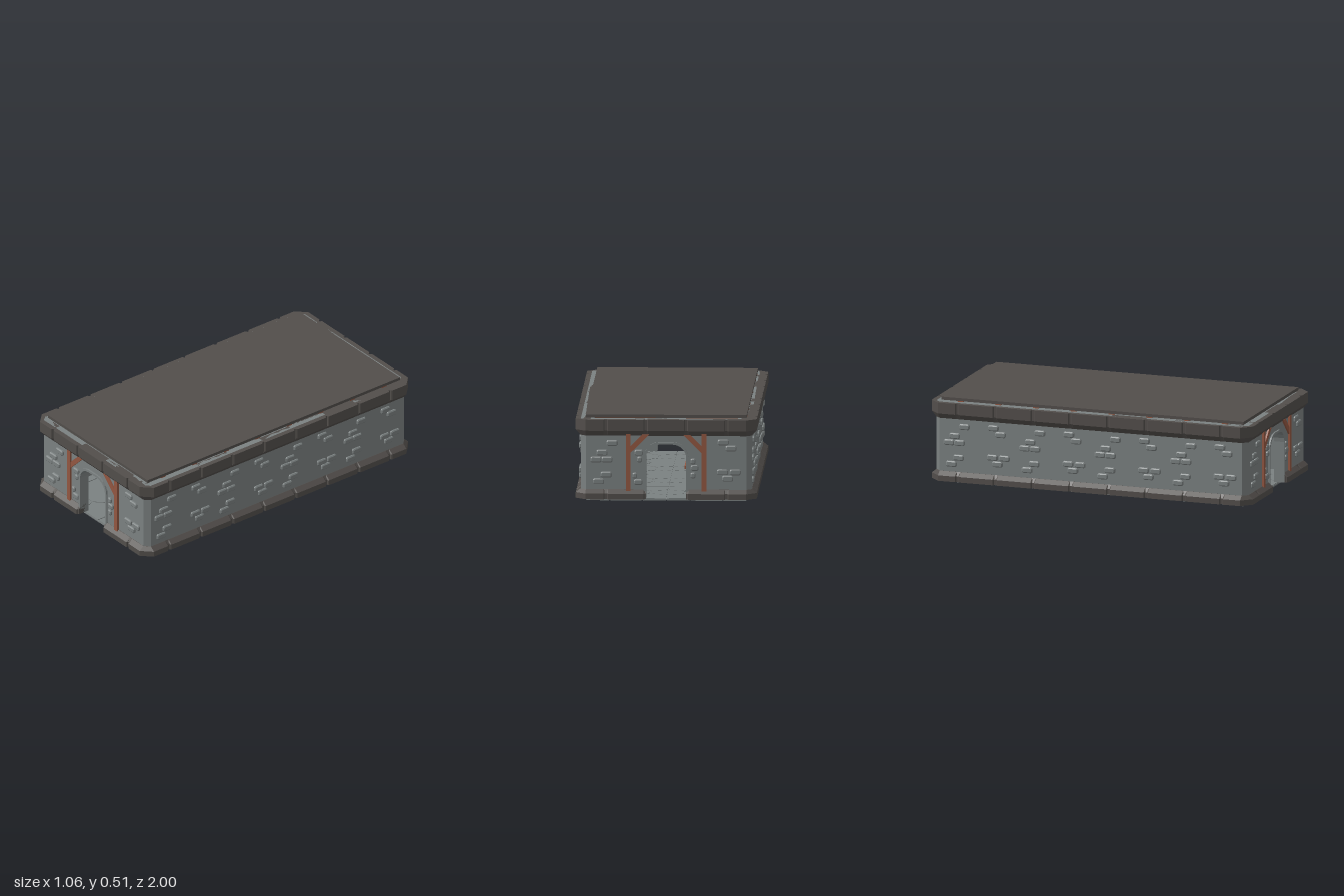
import * as THREE from 'three';

const mat = (name, color) => Object.assign(new THREE.MeshStandardMaterial({ color }), { name });

// Solid through layers [y, [[x, z], ...]] of matching plan polygons, with flat faces.
function loft(layers) {
  const flat = (pts) => pts.map(([x, z]) => new THREE.Vector2(x, -z));
  if (THREE.ShapeUtils.area(flat(layers[0][1])) < 0) {
    layers = layers.map(([y, p]) => [y, [...p].reverse()]);
  }
  const out = [];
  const put = (l, i) => out.push(l[1][i][0], l[0], l[1][i][1]);
  const caps = THREE.ShapeUtils.triangulateShape(flat(layers[0][1]), []);
  const first = layers[0], last = layers[layers.length - 1], n = first[1].length;
  for (const [a, b, c] of caps) {
    put(last, a); put(last, b); put(last, c);
    put(first, a); put(first, c); put(first, b);
  }
  for (let k = 0; k + 1 < layers.length; k++) {
    const lo = layers[k], hi = layers[k + 1];
    for (let i = 0; i < n; i++) {
      const j = (i + 1) % n;
      put(lo, i); put(lo, j); put(hi, j);
      put(lo, i); put(hi, j); put(hi, i);
    }
  }
  const g = new THREE.BufferGeometry();
  g.setAttribute('position', new THREE.Float32BufferAttribute(out, 3));
  g.computeVertexNormals();
  return g;
}

// Rectangle with cut corners
const cutRect = (w, h, c) => [
  [-w + c, -h], [w - c, -h], [w, -h + c], [w, h - c],
  [w - c, h], [-w + c, h], [-w, h - c], [-w, -h + c]];

// Outline of the doorway from left foot to right foot
function archPoints(w, top, r) {
  const pts = [new THREE.Vector2(-w, 0.015)];
  for (let i = 0; i <= 5; i++) {
    const a = Math.PI - (i / 5) * Math.PI / 2;
    pts.push(new THREE.Vector2(-w + r + r * Math.cos(a), top - r + r * Math.sin(a)));
  }
  return [...pts, ...pts.map((p) => new THREE.Vector2(-p.x, p.y)).reverse()];
}

export function createModel() {
  const root = new THREE.Group();
  root.name = 'stoneHall';
  const stone = mat('grey stone', 0x7b8181);
  const dark = mat('dark trim stone', 0x524e4b);
  const wood = mat('reddish wood', 0x935741);

  const add = (parent, name, geo, m, x = 0, y = 0, z = 0) => {
    const mesh = new THREE.Mesh(geo, m);
    mesh.name = name;
    mesh.position.set(x, y, z);
    parent.add(mesh);
    return mesh;
  };
  const box = (parent, name, m, w, h, d, x, y, z) =>
    add(parent, name, new THREE.BoxGeometry(w, h, d), m, x, y, z);
  const group = (name, angle = 0) => {
    const g = new THREE.Group();
    g.name = name;
    g.rotation.y = angle;
    root.add(g);
    return g;
  };

  // Floor: eight paved tiles on a thin bed
  const floor = group('floor');
  box(floor, 'floorBed', stone, 0.94, 0.007, 1.88, 0, 0.0075, 0);
  const slab = (pts) => loft([[0, pts], [0.015, pts]]);
  const polar = (r, a) => [r * Math.cos(a), r * Math.sin(a)];
  const edge = (a) => polar(0.232 / Math.max(Math.abs(Math.cos(a)), Math.abs(Math.sin(a))), a);
  const step = Math.PI / 4;
  const pavers = [slab([...Array(8).keys()].map((k) => polar(0.14, (k + 0.5) * step)))];
  for (let k = 0; k < 8; k++) {
    const a0 = (k - 0.5) * step + 0.018, a1 = (k + 0.5) * step - 0.018;
    const corner = k % 2 ? [edge(k * step)] : [];
    pavers.push(slab([polar(0.15, a0), edge(a0), ...corner, edge(a1), polar(0.15, a1)]));
  }
  for (const x of [-0.235, 0.235]) {
    for (const z of [-0.705, -0.235, 0.235, 0.705]) {
      for (const p of pavers) add(floor, 'paver', p, stone, x, 0, z);
    }
  }

  // Long walls with chamfered corners
  for (const s of [-1, 1]) {
    const plan = [[0.42, -0.97], [0.47, -0.97], [0.5, -0.94], [0.5, 0.94], [0.47, 0.97], [0.42, 0.97]]
      .map(([x, z]) => [s * x, z]);
    add(root, 'longWall', loft([[0.015, plan], [0.485, plan]]), stone);
  }

  // Raised bricks: pattern A and B repeat once per tile
  const brickGeo = (w, h) => loft([
    [-0.002, cutRect(w / 2, h / 2, 0.007)],
    [0.008, cutRect(w / 2, h / 2, 0.007)],
    [0.013, cutRect(w / 2 - 0.006, h / 2 - 0.006, 0.004)]]);
  const brickWide = brickGeo(0.065, 0.034);
  const brick = (parent, x, y, z, geo = brickWide) => {
    add(parent, 'brick', geo, stone, x, y, z).rotation.x = Math.PI / 2;
  };
  const patternA = [[-0.315, 0.345], [-0.375, 0.287], [-0.41, 0.247], [-0.345, 0.247], [-0.35, 0.158], [-0.395, 0.118]];
  const patternB = [[0.335, 0.352], [0.38, 0.315], [0.33, 0.175], [0.405, 0.175], [0.36, 0.137]];
  for (const s of [-1, 1]) {
    const side = group('sideBricks', s * Math.PI / 2);
    for (let k = 0; k < 4; k++) {
      for (const [u, y] of patternA) brick(side, u + (k - 1) * 0.47, y, 0.5);
      for (const [u, y] of patternB) brick(side, u + (k - 2) * 0.47, y, 0.5);
    }
  }

  // End walls: doorway, stone surround, timber posts and braces, bricks
  const V = (x, y) => new THREE.Vector2(x, y);
  const extrude = (pts, depth) =>
    new THREE.ExtrudeGeometry(new THREE.Shape(pts), { depth, bevelEnabled: false });
  const wallGeo = extrude([V(-0.42, 0.015), ...archPoints(0.125, 0.345, 0.085),
    V(0.42, 0.015), V(0.42, 0.485), V(-0.42, 0.485)], 0.05);
  const surroundGeo = extrude([...archPoints(0.131, 0.351, 0.091),
    ...archPoints(0.118, 0.337, 0.078).reverse()], 0.065);
  const small = [[-0.16, 0.288, 0.05], [-0.155, 0.248, 0.028], [-0.183, 0.153, 0.028], [-0.163, 0.115, 0.05],
    [0.158, 0.238, 0.03], [0.167, 0.2, 0.045], [0.158, 0.155, 0.03]];
  for (const angle of [0, Math.PI]) {
    const end = group(angle ? 'backEnd' : 'frontEnd', angle);
    add(end, 'endWall', wallGeo, stone, 0, 0, 0.92);
    add(end, 'doorSurround', surroundGeo, stone, 0, 0, 0.915);
    for (const s of [-1, 1]) {
      box(end, 'doorPost', wood, 0.027, 0.34, 0.026, s * 0.222, 0.232, 0.97);
      const brace = [V(0.21, 0.285), V(0.21, 0.325), V(0.14, 0.395), V(0.1, 0.395)].map((p) => V(p.x * s, p.y));
      add(end, 'doorBrace', extrude(brace, 0.02), wood, 0, 0, 0.96);
    }
    for (const [x, y] of [...patternA, ...patternB]) brick(end, x, y, 0.97);
    for (const [x, y, w] of small) brick(end, x, y, 0.97, brickGeo(w, 0.034));
  }

  // Trim courses: recessed core with separate blocks in front; profile is [y, overhang]
  function trim(name, profile, doorGap) {
    const g = group(name);
    const course = (part, plan) => add(g, part, loft(profile.map(([y, e]) => [y, plan(e)])), dark);
    const gap = 0.007, cut = 0.006;
    const x0 = doorGap ? 0.118 : 0;
    for (const s of [-1, 1]) {
      course('trimCore', (o) => {
        const e = o * 0.6;
        return [[x0, 0.94], [x0, 0.97 + e], [0.47, 0.97 + e], [0.5 + e, 0.94], [0.5 + e, -0.94],
          [0.47, -0.97 - e], [x0, -0.97 - e], [x0, -0.94], [0.44, -0.94], [0.44, 0.94]]
          .map(([x, z]) => [s * x, z]);
      });
      for (const t of [-1, 1]) {
        course('cornerBlock', (e) => [[0.3525 + gap, 0.94], [0.3525 + gap, 0.97 + e - cut], [0.3525 + gap + cut, 0.97 + e],
          [0.47, 0.97 + e], [0.5 + e, 0.94], [0.5 + e, 0.8225 + gap + cut], [0.5 + e - cut, 0.8225 + gap],
          [0.44, 0.8225 + gap], [0.44, 0.94]].map(([x, z]) => [s * x, t * z]));
      }
      // Straight blocks; outer face at base + e
      const straight = (mid, base, place) => course('trimBlock', (e) => {
        const h = 0.1175 - gap, o = base + e;
        return [[mid - h, base - 0.03], [mid - h, o - cut], [mid - h + cut, o],
          [mid + h - cut, o], [mid + h, o - cut], [mid + h, base - 0.03]].map(place);
      });
      for (let k = -3; k <= 3; k++) straight(k * 0.235, 0.5, ([u, o]) => [s * o, u]);
      for (let k = -1; k <= 1; k++) {
        if (k || !doorGap) straight(k * 0.235, 0.97, ([u, o]) => [u, s * o]);
      }
    }
  }
  trim('baseTrim', [[0.015, 0.03], [0.048, 0.03], [0.071, 0.002]], true);
  trim('topTrim', [[0.388, 0.002], [0.42, 0.03], [0.485, 0.03]], false);

  // Roof slab on tapered cross beams
  box(root, 'roofSlab', dark, 0.94, 0.018, 1.88, 0, 0.499, 0);
  const beam = loft([[0.445, cutRect(0.47, 0.01, 0.001)], [0.47, cutRect(0.47, 0.01, 0.001)],
    [0.491, cutRect(0.47, 0.02, 0.001)]]);
  for (let k = 0; k < 8; k++) add(root, 'roofBeam', beam, wood, 0, 0, (k - 3.5) * 0.235);

  // Furniture: tops on four splayed legs
  function table(name, w, d, h, x, z, foot) {
    const g = group(name);
    g.position.set(x, 0, z);
    box(g, 'top', wood, w, 0.016, d, 0, h - 0.008, 0);
    for (const s of [-1, 1]) {
      for (const t of [-1, 1]) {
        const leg = (r, e) => cutRect(r, r, 0.001).map(([a, b]) => [a + s * (w / 2 - e), b + t * (d / 2 - e)]);
        add(g, 'leg', loft([[foot, leg(0.011, 0.018)], [h - 0.01, leg(0.013, 0.027)]]), wood);
      }
    }
  }
  table('longTable', 0.22, 0.46, 0.12, -0.298, 0.127, -0.0005);
  table('bench', 0.075, 0.4, 0.075, -0.113, 0.127, 0.015);
  table('stool', 0.075, 0.075, 0.075, -0.16, -0.82, 0.015);
  box(root, 'crate', wood, 0.1, 0.12, 0.1, 0.19, 0.075, -0.8);

  return root;
}
